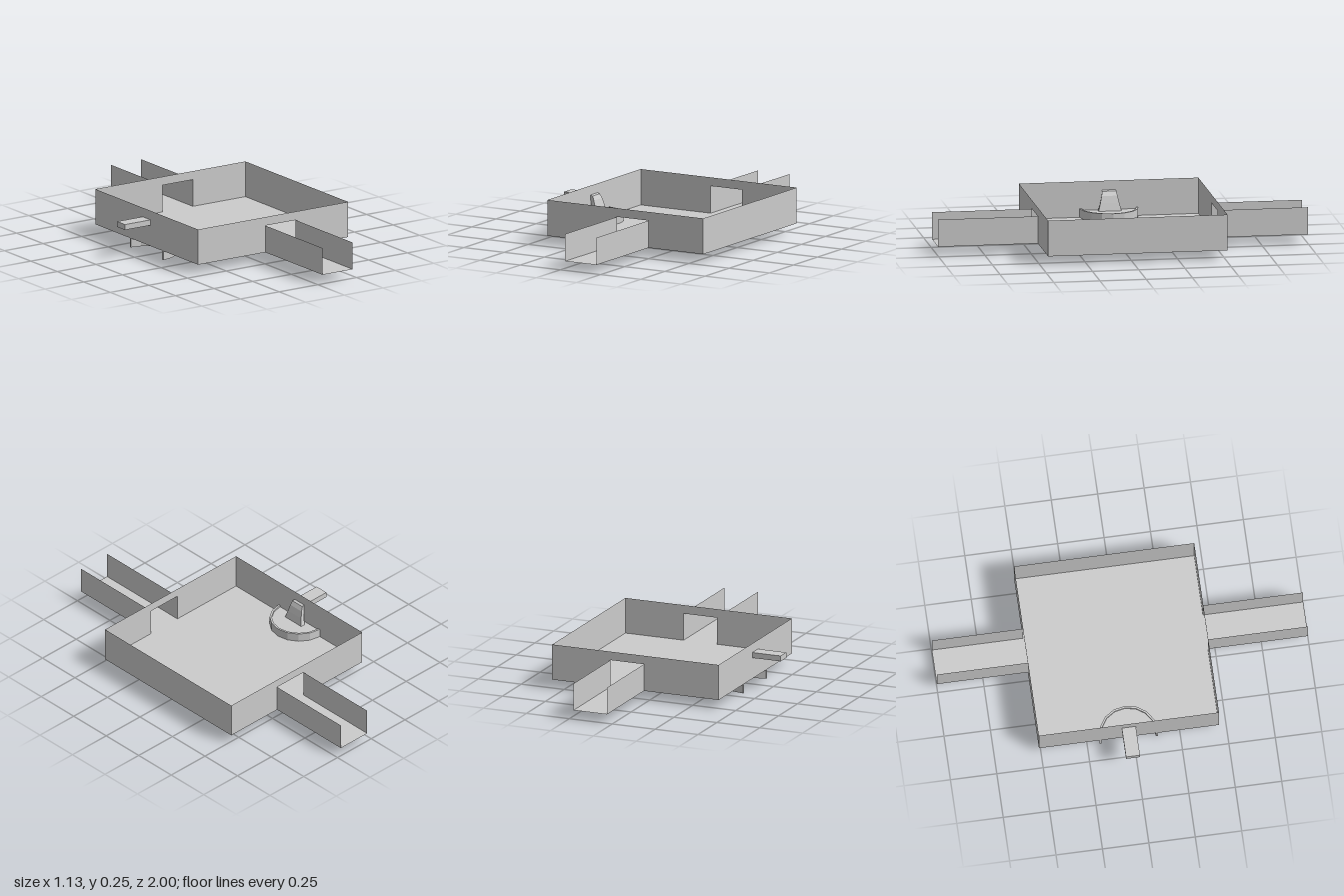
import * as THREE from 'three';

const mat = new THREE.MeshStandardMaterial({ color: 0xcccccc, flatShading: true, side: THREE.DoubleSide });

// Main measures
const X0 = -0.405, X1 = 0.565, Z0 = -0.51, Z1 = 0.46; // tray
const C0 = 0.03, C1 = 0.225;                          // channel
const FLOOR = 0.05, RIM = 0.245, CHANNEL_TOP = 0.198;
const MID_Z = -0.026;                                 // basin and spout axis

function polygon(points) {
  return new THREE.Shape(points.map(([x, y]) => new THREE.Vector2(x, y)));
}

export function createModel() {
  const model = new THREE.Group();
  const add = (name, geometry, x = 0, y = 0, z = 0) => {
    const mesh = new THREE.Mesh(geometry, mat);
    mesh.name = name;
    mesh.position.set(x, y, z);
    model.add(mesh);
    return mesh;
  };
  // Upright sheet running along z
  const sideSheet = (name, x, za, zb, top) => add(name,
    new THREE.PlaneGeometry(zb - za, top - FLOOR).rotateY(Math.PI / 2),
    x, (FLOOR + top) / 2, (za + zb) / 2);
  // Level sheet
  const floorSheet = (name, xa, xb, za, zb) => add(name,
    new THREE.PlaneGeometry(xb - xa, zb - za).rotateX(-Math.PI / 2),
    (xa + xb) / 2, FLOOR, (za + zb) / 2);

  // Tray
  floorSheet('trayFloor', X0, X1, Z0, Z1);
  sideSheet('trayRightWall', X0, Z0, Z1, RIM);
  sideSheet('trayLeftWall', X1, Z0, Z1, RIM);
  // End walls, notched from below where the channels join
  const endWall = polygon([[X0, FLOOR], [C0, FLOOR], [C0, CHANNEL_TOP], [C1, CHANNEL_TOP],
    [C1, FLOOR], [X1, FLOOR], [X1, RIM], [X0, RIM]]);
  add('trayFrontWall', new THREE.ShapeGeometry(endWall), 0, 0, Z1);
  add('trayBackWall', new THREE.ShapeGeometry(endWall), 0, 0, Z0);

  // Open channels leading in and out
  for (const [name, za, zb] of [['frontChannel', Z1, 1], ['backChannel', -1, Z0]]) {
    floorSheet(name + 'Floor', C0, C1, za, zb);
    sideSheet(name + 'RightWall', C0, za, zb, CHANNEL_TOP);
    sideSheet(name + 'LeftWall', C1, za, zb, CHANNEL_TOP);
  }

  // Half-round basin passing through the floor
  const arc = (r) => Array.from({ length: 9 }, (_, i) => {
    const a = -Math.PI / 2 + i * Math.PI / 8;
    return [r * Math.cos(a), r * Math.sin(a)];
  });
  const ring = polygon([...arc(0.158), ...arc(0.147).reverse()]);
  add('basinRim', new THREE.ExtrudeGeometry(ring, { depth: 0.097, bevelEnabled: false })
    .rotateX(-Math.PI / 2), X0, 0, MID_Z);
  add('basinSurface', new THREE.ShapeGeometry(polygon(arc(0.147))).rotateX(-Math.PI / 2), X0, 0.088, MID_Z);

  // Spout bar outside the wall
  add('spoutBar', new THREE.BoxGeometry(0.165, 0.03, 0.075), X0 - 0.0825, 0.18, MID_Z);

  // Curved fall from the spout, widening down to the basin:
  // outer x, outer y, inner x, inner y, half width
  const sections = [
    [-0.405, 0.195, -0.405, 0.165, 0.036],
    [-0.392, 0.190, -0.402, 0.160, 0.038],
    [-0.380, 0.167, -0.398, 0.145, 0.043],
    [-0.370, 0.130, -0.391, 0.118, 0.051],
    [-0.360, 0.088, -0.385, 0.088, 0.062],
  ];
  const pos = [], index = [];
  sections.forEach(([ox, oy, ix, iy, w], s) => {
    pos.push(ox, oy, w, ox, oy, -w, ix, iy, -w, ix, iy, w);
    if (s === 0) return;
    for (let k = 0; k < 4; k++) {
      const a = (s - 1) * 4 + k, b = (s - 1) * 4 + (k + 1) % 4;
      index.push(a, a + 4, b, b, a + 4, b + 4);
    }
  });
  const fall = new THREE.BufferGeometry();
  fall.setAttribute('position', new THREE.Float32BufferAttribute(pos, 3));
  fall.setIndex(index);
  fall.computeVertexNormals();
  add('spoutFall', fall, 0, 0, MID_Z);

  return model;
}
